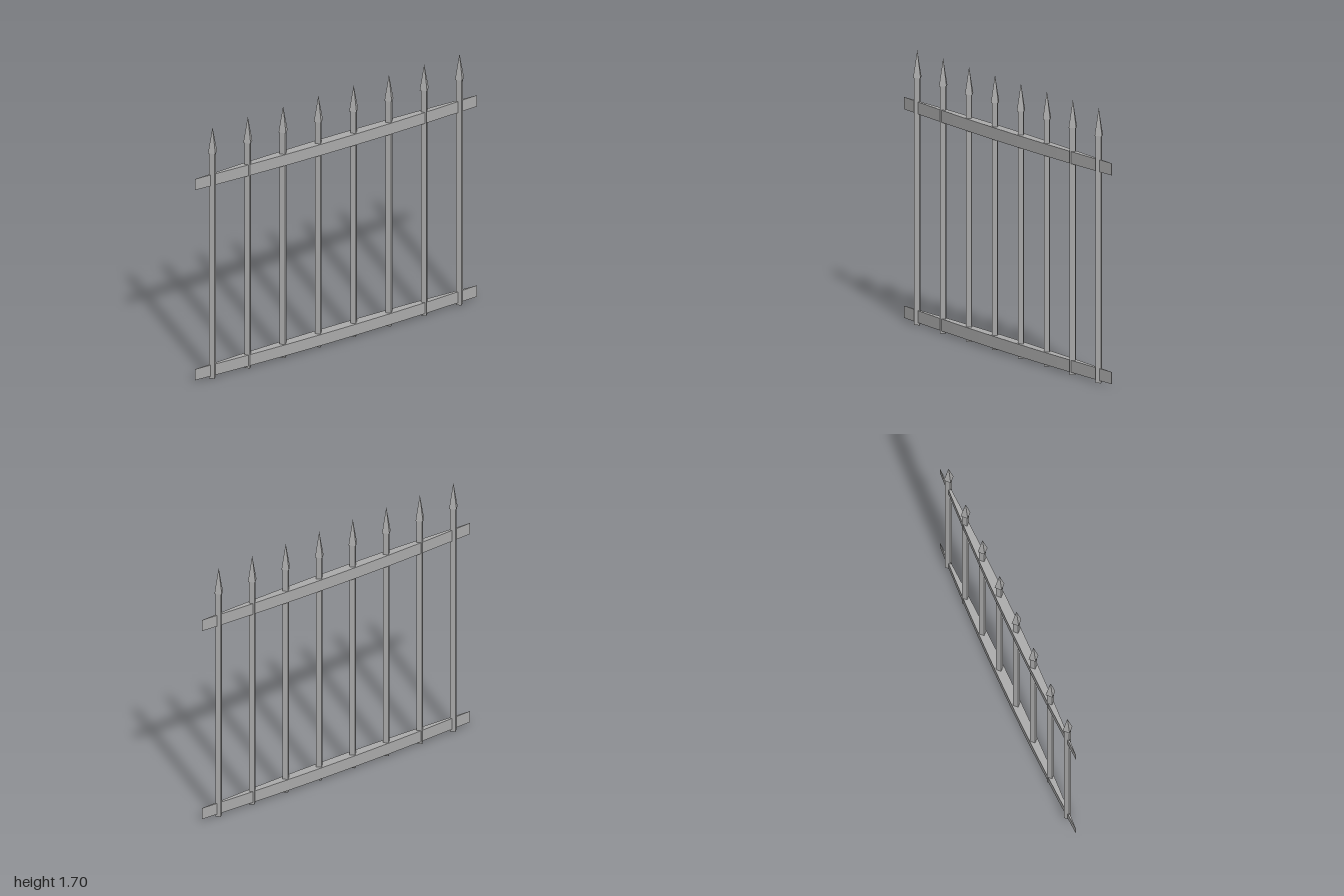
import * as THREE from 'three';

export function createModel() {
  const fence = new THREE.Group();
  fence.name = 'fence';
  const iron = new THREE.MeshStandardMaterial({ color: 0xaaaaaa, flatShading: true });
  iron.name = 'grey iron';

  const add = (parent, name, geometry, x, y) => {
    const mesh = new THREE.Mesh(geometry, iron);
    mesh.name = name;
    mesh.position.set(x, y, 0);
    parent.add(mesh);
  };

  // Rails: thickest in the middle, tapering to thin ends
  const railGeometry = new THREE.BoxGeometry(2, 0.075, 2, 16, 1, 1);
  const p = railGeometry.attributes.position;
  for (let i = 0; i < p.count; i++) {
    p.setZ(i, p.getZ(i) * (0.0295 * (1 - p.getX(i) ** 2) + 0.0005));
  }
  railGeometry.computeVertexNormals();
  add(fence, 'lowerRail', railGeometry, 0, 0.053);
  add(fence, 'upperRail', railGeometry, 0, 1.347);

  // Pickets: four-sided bars set corner-on, each with a pointed head
  const barGeometry = new THREE.CylinderGeometry(0.024, 0.024, 1.535, 4);
  const headGeometry = new THREE.ConeGeometry(0.032, 0.17, 4);
  for (let i = 0; i < 8; i++) {
    const picket = new THREE.Group();
    picket.name = `picket${i + 1}`;
    picket.position.x = -0.875 + i * 0.25;
    add(picket, 'bar', barGeometry, 0, 0.7675);
    add(picket, 'spearHead', headGeometry, 0, 1.618);
    fence.add(picket);
  }
  return fence;
}
